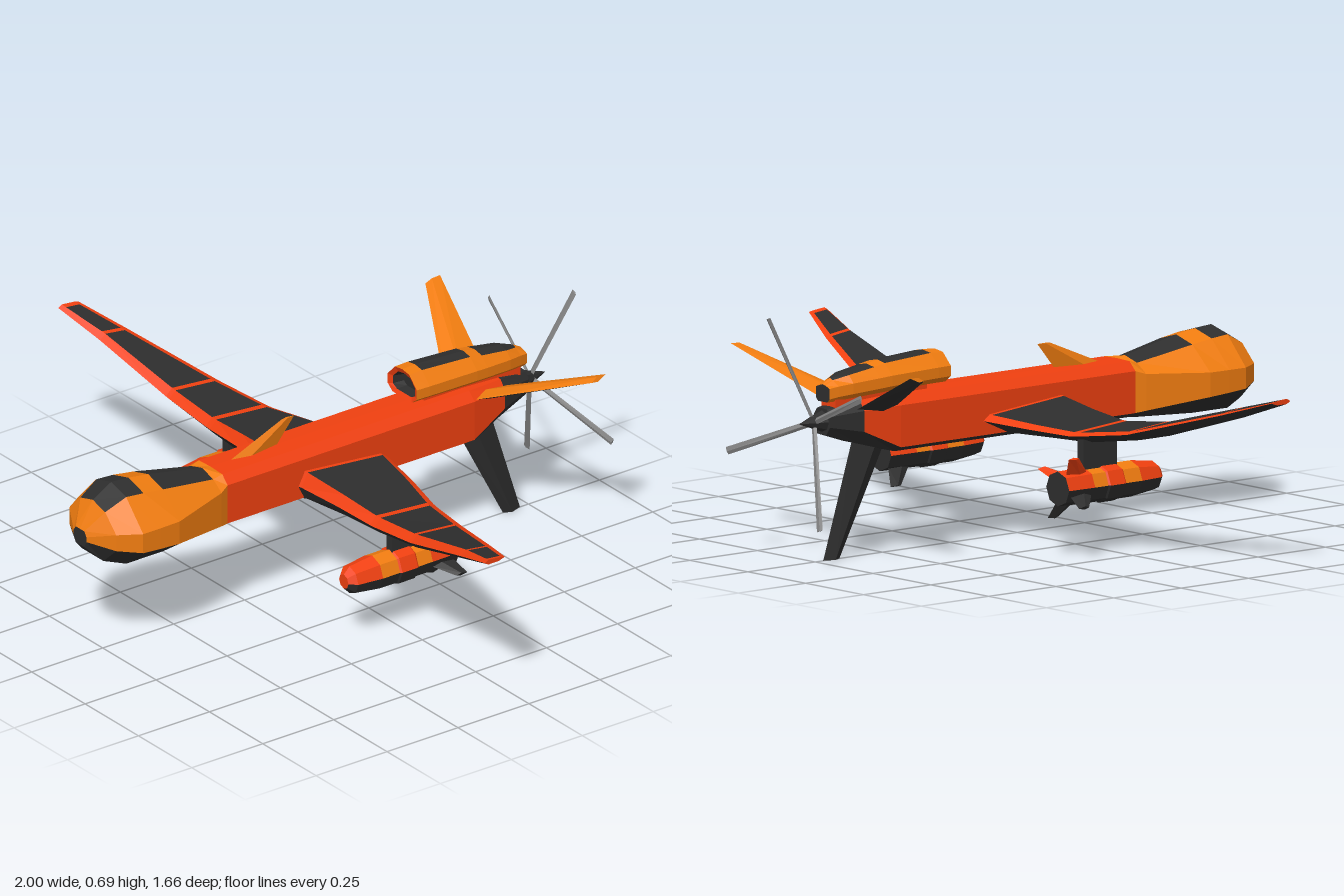
import * as THREE from 'three';

const COLOURS = { orange: 0xf07c10, red: 0xf04010, dark: 0x2e2e2e, grey: 0x888888 };
const materials = {};
for (const key in COLOURS) {
  materials[key] = new THREE.MeshStandardMaterial({ color: COLOURS[key], flatShading: true });
}

// Skins closed cross-sections; colourOf(segment, side) picks each face's colour.
function loft(name, rings, colourOf, capColours) {
  const tris = [];
  const n = rings[0].length;
  const add = (colour, a, b, c) => tris.push({ colour, p: [a, b, c] });
  for (let i = 0; i < rings.length - 1; i++) {
    for (let j = 0; j < n; j++) {
      const k = (j + 1) % n, A = rings[i], B = rings[i + 1], c = colourOf(i, j);
      add(c, A[j], B[j], B[k]);
      add(c, A[j], B[k], A[k]);
    }
  }
  const last = rings[rings.length - 1];
  for (let j = 1; j < n - 1; j++) {
    add(capColours[0], rings[0][0], rings[0][j], rings[0][j + 1]);
    add(capColours[1], last[0], last[j + 1], last[j]);
  }
  // Turn every face outward if the section order came out reversed
  const v = (p) => new THREE.Vector3(...p);
  const o = v(rings[0][0]);
  const volume = tris.reduce((s, { p }) => {
    const [a, b, c] = p.map((q) => v(q).sub(o));
    return s + a.dot(b.cross(c));
  }, 0);
  const group = new THREE.Group();
  group.name = name;
  for (const colour of new Set(tris.map((t) => t.colour))) {
    const pos = tris.filter((t) => t.colour === colour)
      .flatMap(({ p }) => (volume < 0 ? [p[0], p[2], p[1]] : p)).flat();
    const geo = new THREE.BufferGeometry();
    geo.setAttribute('position', new THREE.Float32BufferAttribute(pos, 3));
    geo.computeVertexNormals();
    const mesh = new THREE.Mesh(geo, materials[colour]);
    mesh.name = `${name} ${colour}`;
    group.add(mesh);
  }
  return group;
}

// Nine-sided body section: ridge, shoulder, upper side, lower side, belly
function bodyRing([z, yt, ya, a, w, yu, ys, b, yb]) {
  const half = [[a, ya, z], [w, yu, z], [w, ys, z], [b, yb, z]];
  return [[0, yt, z], ...half, ...half.slice().reverse().map(([x, y]) => [-x, y, z])];
}

// Thin fin between a root and a tip chord, thickened along normal n
function fin(name, root, tip, n, tRoot, tTip, top, bottom = top) {
  const section = ([le, te], t) => {
    const mid = (s) => le.map((q, i) => q + (te[i] - q) * 0.4 + n[i] * t * s);
    return [le, mid(1), te, mid(-1)];
  };
  return loft(name, [section(root, tRoot), section(tip, tTip)],
    (i, j) => (j < 2 ? top : bottom), [bottom, top]);
}

function wing(side) {
  // x, leading z, trailing z, top y, bottom y
  const keys = [
    [0.04, 0.13, -0.2, 0.4, 0.3], [0.1, 0.115, -0.19, 0.39, 0.31],
    [0.24, 0.1, -0.165, 0.375, 0.313], [0.385, 0.09, -0.13, 0.362, 0.315],
    [0.57, 0.095, -0.085, 0.383, 0.342], [0.85, 0.125, 0.02, 0.457, 0.427],
    [1, 0.155, 0.085, 0.497, 0.482],
  ];
  const at = (x) => {
    const i = Math.min(keys.length - 2, Math.max(0, keys.findIndex((k) => k[0] >= x) - 1));
    const t = (x - keys[i][0]) / (keys[i + 1][0] - keys[i][0]);
    return keys[i].map((q, c) => q + (keys[i + 1][c] - q) * t);
  };
  const xs = [0.04, 0.09, 0.24, 0.375, 0.395, 0.56, 0.575, 0.845, 0.858, 0.985, 1];
  const rings = xs.map((x) => {
    const [, zl, zt, yt, yb] = at(x);
    const ym = (yt + yb) / 2, c = zl - zt;
    const band = Math.min(0.022, c * 0.18);
    return [[zl, ym], [zl - band, yt], [zt + band, ym + (yt - ym) * 0.4], [zt, ym],
      [zt + c * 0.3, yb], [zl - band, yb]].map(([z, y]) => [side * x, y, z]);
  });
  // Dark upper panels edged and divided by red strips
  const strips = [0, 3, 5, 7, 9];
  return loft(side > 0 ? 'leftWing' : 'rightWing', rings,
    (i, j) => (j > 2 || (j === 1 && !strips.includes(i)) ? 'dark' : 'red'), ['dark', 'red']);
}

function store(side) {
  const group = new THREE.Group();
  group.name = side > 0 ? 'leftStore' : 'rightStore';
  const cx = 0.385 * side, cy = 0.195;
  // z and radius along the body, with alternating bands
  const profile = [[0.19, 0.022], [0.17, 0.042], [0.09, 0.052], [0.03, 0.052], [0.025, 0.056],
    [-0.03, 0.056], [-0.035, 0.052], [-0.085, 0.052], [-0.18, 0.05]];
  const rings = profile.map(([z, r]) => Array.from({ length: 8 }, (_, j) => {
    const t = j * Math.PI / 4;
    return [cx + r * Math.cos(t), cy + r * Math.sin(t), z];
  }));
  group.add(loft('storeBody', rings,
    (i, j) => (j > 3 ? 'dark' : i === 2 || i === 6 ? 'orange' : 'red'), ['red', 'dark']));
  for (let k = 0; k < 4; k++) {
    const t = (27 + 90 * k) * Math.PI / 180;
    const c = -side * Math.cos(t), s = Math.sin(t);
    const p = (r, z) => [cx + r * c, cy + r * s, z];
    group.add(fin('storeFin', [p(0.04, -0.085), p(0.04, -0.165)], [p(0.1, -0.14), p(0.1, -0.178)],
      [-s, c, 0], 0.009, 0.006, k < 2 ? 'red' : 'dark'));
  }
  const pylon = new THREE.Mesh(new THREE.BoxGeometry(0.026, 0.11, 0.125), materials.dark);
  pylon.name = 'pylon';
  pylon.position.set(cx, 0.285, -0.033);
  group.add(pylon);
  return group;
}

export function createModel() {
  const model = new THREE.Group();
  model.name = 'aircraft';

  // Bulbous nose running into a slim fuselage
  const hull = [
    [0.83, 0.4, 0.4, 0.02, 0.03, 0.385, 0.37, 0.02, 0.35],
    [0.785, 0.478, 0.462, 0.058, 0.11, 0.41, 0.36, 0.05, 0.305],
    [0.72, 0.515, 0.495, 0.07, 0.15, 0.41, 0.35, 0.07, 0.285],
    [0.66, 0.51, 0.49, 0.072, 0.15, 0.41, 0.345, 0.07, 0.285],
    [0.59, 0.5, 0.48, 0.07, 0.148, 0.41, 0.34, 0.07, 0.285],
    [0.4, 0.462, 0.447, 0.052, 0.092, 0.42, 0.315, 0.05, 0.292],
    [0.37, 0.457, 0.455, 0.055, 0.08, 0.43, 0.31, 0.05, 0.295],
    [-0.5, 0.457, 0.455, 0.055, 0.08, 0.43, 0.31, 0.05, 0.295],
    [-0.62, 0.452, 0.45, 0.042, 0.062, 0.425, 0.365, 0.035, 0.328],
    [-0.725, 0.437, 0.435, 0.022, 0.035, 0.415, 0.385, 0.02, 0.362],
  ];
  model.add(loft('fuselage', hull.map(bodyRing), (i, j) => {
    const window = (j === 0 || j === 8) && [1, 2, 4].includes(i);
    if (window || (j > 2 && j < 6) || i === 8) return 'dark';
    return i < 6 ? 'orange' : 'red';
  }, ['dark', 'dark']));

  // Engine intake on the tail, with a hollow red-lipped mouth
  const nacelle = [
    [-0.345, 0.54, 0.535, 0.025, 0.045, 0.515, 0.495, 0.03, 0.485],
    [-0.312, 0.545, 0.54, 0.028, 0.052, 0.517, 0.493, 0.034, 0.483],
    [-0.305, 0.56, 0.555, 0.034, 0.068, 0.52, 0.49, 0.045, 0.472],
    [-0.35, 0.562, 0.557, 0.033, 0.07, 0.52, 0.49, 0.045, 0.472],
    [-0.52, 0.553, 0.547, 0.033, 0.066, 0.515, 0.485, 0.045, 0.468],
    [-0.56, 0.546, 0.54, 0.034, 0.062, 0.512, 0.482, 0.04, 0.465],
    [-0.65, 0.533, 0.527, 0.03, 0.05, 0.505, 0.475, 0.032, 0.46],
    [-0.695, 0.52, 0.515, 0.012, 0.038, 0.5, 0.47, 0.025, 0.456],
    [-0.722, 0.505, 0.502, 0.012, 0.03, 0.495, 0.465, 0.02, 0.455],
  ];
  model.add(loft('engineIntake', nacelle.map(bodyRing), (i, j) => {
    if (i === 0) return 'dark';
    if (i === 1) return 'red';
    return (j === 0 || j === 8) && [3, 5, 6].includes(i) ? 'dark' : 'orange';
  }, ['dark', 'dark']));
  const saddle = new THREE.Mesh(new THREE.BoxGeometry(0.06, 0.05, 0.34), materials.red);
  saddle.name = 'intakeSaddle';
  saddle.position.set(0, 0.455, -0.53);
  model.add(saddle);

  // Dorsal and ventral fins
  model.add(fin('dorsalFin', [[0, 0.44, 0.34], [0, 0.44, 0.15]],
    [[0, 0.53, 0.12], [0, 0.53, 0.075]], [1, 0, 0], 0.016, 0.004, 'orange'));
  model.add(fin('ventralFin', [[0, 0.34, -0.48], [0, 0.36, -0.605]],
    [[0, 0, -0.66], [0, 0, -0.72]], [1, 0, 0], 0.022, 0.012, 'dark'));

  // Wings, V-tail and underwing stores
  for (const side of [1, -1]) {
    model.add(wing(side), store(side));
    model.add(fin(side > 0 ? 'leftTailFin' : 'rightTailFin',
      [[side * 0.04, 0.418, -0.49], [side * 0.04, 0.425, -0.635]],
      [[side * 0.39, 0.56, -0.68], [side * 0.388, 0.572, -0.73]],
      [-side * 0.35, 0.94, 0], 0.014, 0.007, 'orange', 'dark'));
  }

  // Pusher propeller with four swept blades
  const spinner = new THREE.Mesh(new THREE.ConeGeometry(0.036, 0.1, 8), materials.dark);
  spinner.name = 'spinner';
  spinner.rotation.x = -Math.PI / 2;
  spinner.position.set(0, 0.4, -0.76);
  model.add(spinner);
  for (let k = 0; k < 4; k++) {
    const t = (69 + 90 * k) * Math.PI / 180;
    const c = Math.cos(t), s = Math.sin(t);
    const p = (r, w, z) => [r * c - w * s, 0.4 + r * s + w * c, z];
    model.add(fin('propellerBlade', [p(0.01, -0.009, -0.755), p(0.01, 0.009, -0.758)],
      [p(0.31, -0.011, -0.826), p(0.31, 0.011, -0.83)], [0, 0, 1], 0.005, 0.003, 'grey'));
  }
  return model;
}
